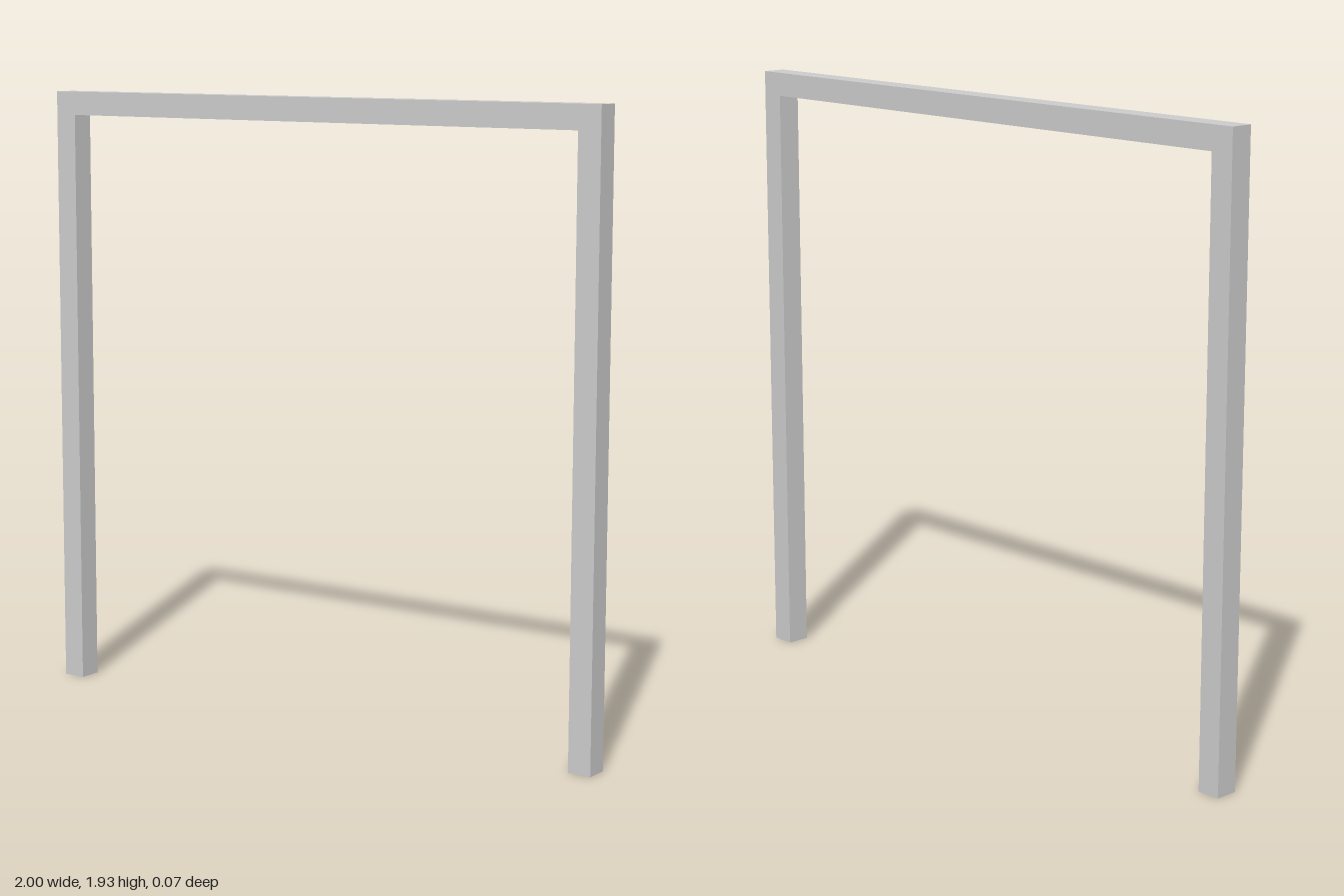
import * as THREE from 'three';

const HEIGHT = 1.926; // overall height
const HALF = 1;       // half of the overall width
const BAR = 0.074;    // square bar section

export function createModel() {
  const model = new THREE.Group();
  model.name = 'openFrame';

  // Two posts and the top beam as one seamless outline
  const inner = HALF - BAR;
  const outline = new THREE.Shape([
    [-HALF, 0], [-inner, 0], [-inner, HEIGHT - BAR], [inner, HEIGHT - BAR],
    [inner, 0], [HALF, 0], [HALF, HEIGHT], [-HALF, HEIGHT],
  ].map(([x, y]) => new THREE.Vector2(x, y)));

  const geometry = new THREE.ExtrudeGeometry(outline, { depth: BAR, bevelEnabled: false });
  geometry.translate(0, 0, -BAR / 2);

  const frame = new THREE.Mesh(geometry, new THREE.MeshStandardMaterial({ color: 0xcccccc }));
  frame.name = 'postsAndBeam';
  model.add(frame);
  return model;
}
